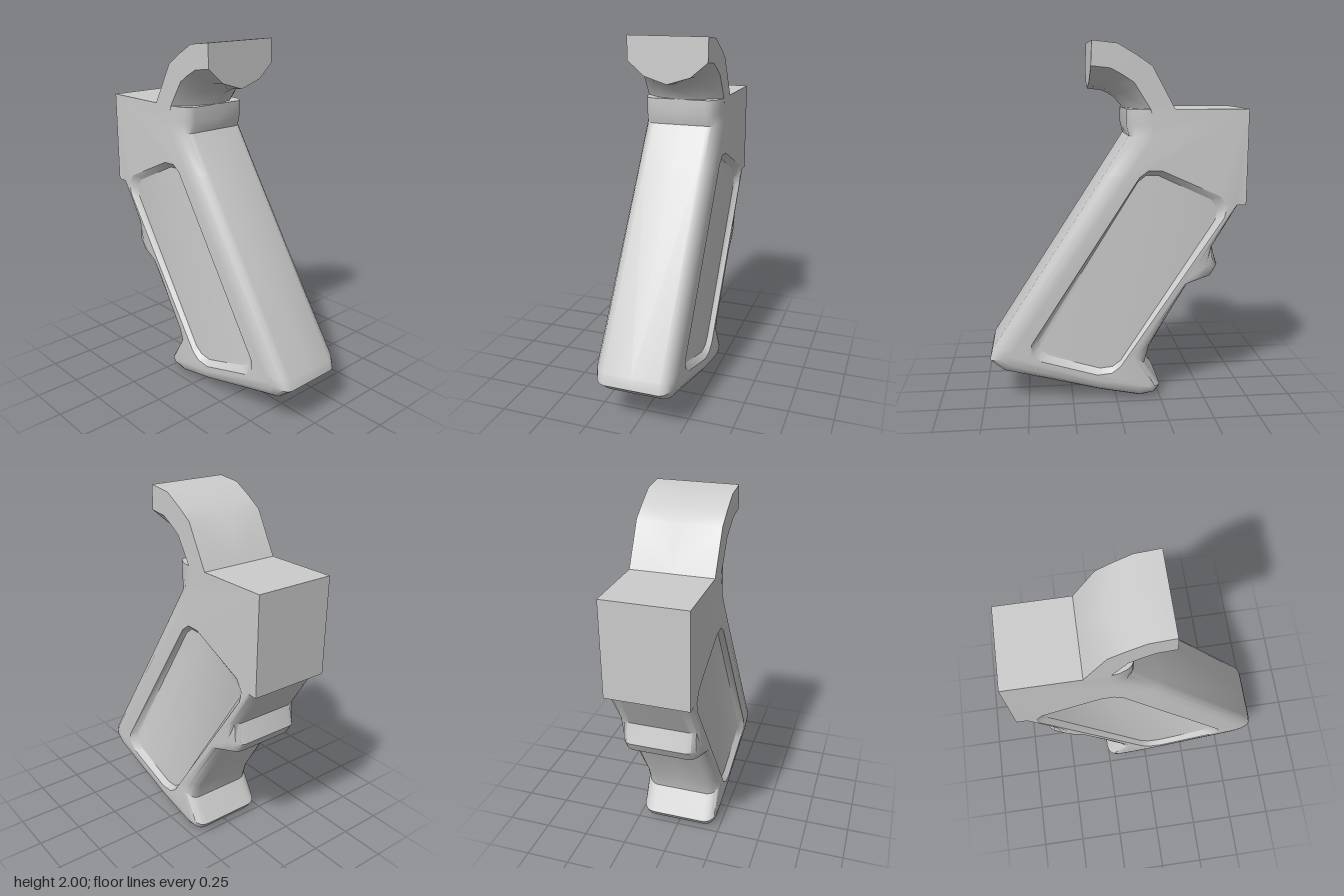
import * as THREE from 'three';
import { mergeGeometries, toCreasedNormals } from 'three/addons/utils/BufferGeometryUtils.js';

const HALF = 0.225; // half width of the grip

// Grip outline: [z, y] on the middle strip, then [z, y] where the rounding meets the flat side
const OUTLINE = [
  [-0.055, 1.645, -0.19, 1.645], [-0.055, 1.56, -0.19, 1.56], [-0.07, 1.5, -0.19, 1.5],
  [0.066, 1.29, -0.06, 1.29], [0.7, 0.31, 0.595, 0.33], [0.715, 0.25, 0.6, 0.285],
  [0.64, 0.187, 0.57, 0.26], [0.095, 0.047, 0.1, 0.12],
  [-0.14, 0, -0.13, 0.075], [-0.225, 0.018, -0.18, 0.07], [-0.255, 0.06, -0.19, 0.085],
  [-0.165, 0.2, -0.095, 0.255], [-0.19, 0.3, -0.12, 0.3], [-0.405, 0.675, -0.375, 0.675],
  [-0.54, 0.71, -0.4, 0.715], [-0.575, 0.77, -0.44, 0.77], [-0.54, 0.88, -0.51, 0.9],
  [-0.68, 1.12, -0.655, 1.12], [-0.715, 1.12, -0.715, 1.12], [-0.715, 1.645, -0.715, 1.645],
];

// Rim of the recessed side panel, [z, y]
const PANEL = [
  [-0.12, 1.28], [-0.17, 1.318], [-0.245, 1.315], [-0.57, 1.17], [-0.608, 1.11], [-0.595, 1.05],
  [-0.02, 0.2], [0.03, 0.163], [0.11, 0.155], [0.43, 0.25], [0.48, 0.295], [0.48, 0.35],
];
const PANEL_FLOOR = PANEL.map(([z, y]) => [-0.06 + (z + 0.06) * 0.915, 0.735 + (y - 0.735) * 0.95]);

// Tail stations from base to tip: upper [z, y], lower centre [z, y]
const TAIL = [
  [-0.34, 1.59, -0.075, 1.55], [-0.31, 1.645, -0.055, 1.645], [-0.185, 1.87, 0, 1.705],
  [-0.1, 1.927, 0.035, 1.727], [0, 1.985, 0.07, 1.742], [0.135, 2, 0.145, 1.75],
];
// Half section of the tail: x, and share of the way from upper to lower
const TAIL_SECTION = [[0, 0], [-HALF, 0], [-HALF, 0.52], [-0.13, 0.84], [0, 1]];

// Skin between successive rows of [x, y, z] points
function loft(rows, closed) {
  const out = [];
  const v = (p) => new THREE.Vector3(...p);
  const tri = (a, b, c) => {
    if (new THREE.Triangle(v(a), v(b), v(c)).getArea() > 1e-8) out.push(...a, ...b, ...c);
  };
  for (let k = 0; k < rows.length - 1; k++) {
    const n = rows[k].length;
    for (let i = 0; i < (closed ? n : n - 1); i++) {
      const j = (i + 1) % n;
      tri(rows[k][i], rows[k][j], rows[k + 1][j]);
      tri(rows[k][i], rows[k + 1][j], rows[k + 1][i]);
    }
  }
  return new THREE.BufferGeometry().setAttribute('position', new THREE.Float32BufferAttribute(out, 3));
}

// Flat face on the right side at a given x, from [z, y] points and an optional hole
function sideFace(points, x, hole) {
  const vec = (list) => list.map(([z, y]) => new THREE.Vector2(z, y));
  const shape = new THREE.Shape(vec(points));
  if (hole) shape.holes.push(new THREE.Path(vec(hole)));
  const geo = new THREE.ShapeGeometry(shape).toNonIndexed();
  geo.deleteAttribute('uv');
  geo.deleteAttribute('normal');
  return geo.rotateY(-Math.PI / 2).translate(x, 0, 0);
}

// Copy across x = 0 with the corner order reversed
function mirrored(geo) {
  const p = geo.attributes.position.array;
  const out = [];
  for (let i = 0; i < p.length; i += 9) {
    for (const j of [0, 6, 3]) out.push(-p[i + j], p[i + j + 1], p[i + j + 2]);
  }
  return new THREE.BufferGeometry().setAttribute('position', new THREE.Float32BufferAttribute(out, 3));
}

function symmetricMesh(name, halves, material, crease) {
  const half = mergeGeometries(halves);
  const mesh = new THREE.Mesh(toCreasedNormals(mergeGeometries([half, mirrored(half)]), crease), material);
  mesh.name = name;
  return mesh;
}

export function createModel() {
  const group = new THREE.Group();
  group.name = 'pistolGrip';
  const material = new THREE.MeshStandardMaterial({ color: 0xcccccc });

  // Body: rounded from the flat side into the middle strip
  const rows = [90, 65, 40, 20, 0].map((deg) => {
    const s = Math.sin(THREE.MathUtils.degToRad(deg));
    const c = Math.cos(THREE.MathUtils.degToRad(deg));
    return OUTLINE.map(([pz, py, qz, qy]) => [-(0.155 + (HALF - 0.155) * s), qy + (py - qy) * c, qz + (pz - qz) * c]);
  });
  rows.push(OUTLINE.map(([z, y]) => [0, y, z]));
  const side = sideFace(OUTLINE.map((p) => [p[2], p[3]]), -HALF, PANEL);
  group.add(symmetricMesh('gripBody', [loft(rows, true), side], material, 0.65));

  // Recessed side panels: sloping wall and flat floor
  const floorX = -HALF + 0.03;
  const wall = loft([
    PANEL.map(([z, y]) => [-HALF, y, z]),
    PANEL_FLOOR.map(([z, y]) => [floorX, y, z]),
  ], true);
  group.add(symmetricMesh('sidePanels', [wall, sideFace(PANEL_FLOOR, floorX)], material, 0.6));

  // Curved tail above the hand, closed by a flat tip
  const tailRows = TAIL.map(([tz, ty, bz, by]) =>
    TAIL_SECTION.map(([x, t]) => [x, ty + (by - ty) * t, tz + (bz - tz) * t]));
  tailRows.push(TAIL_SECTION.map(() => [0, 1.875, 0.14]));
  group.add(symmetricMesh('tail', [loft(tailRows, false)], material, 0.7));

  return group;
}
